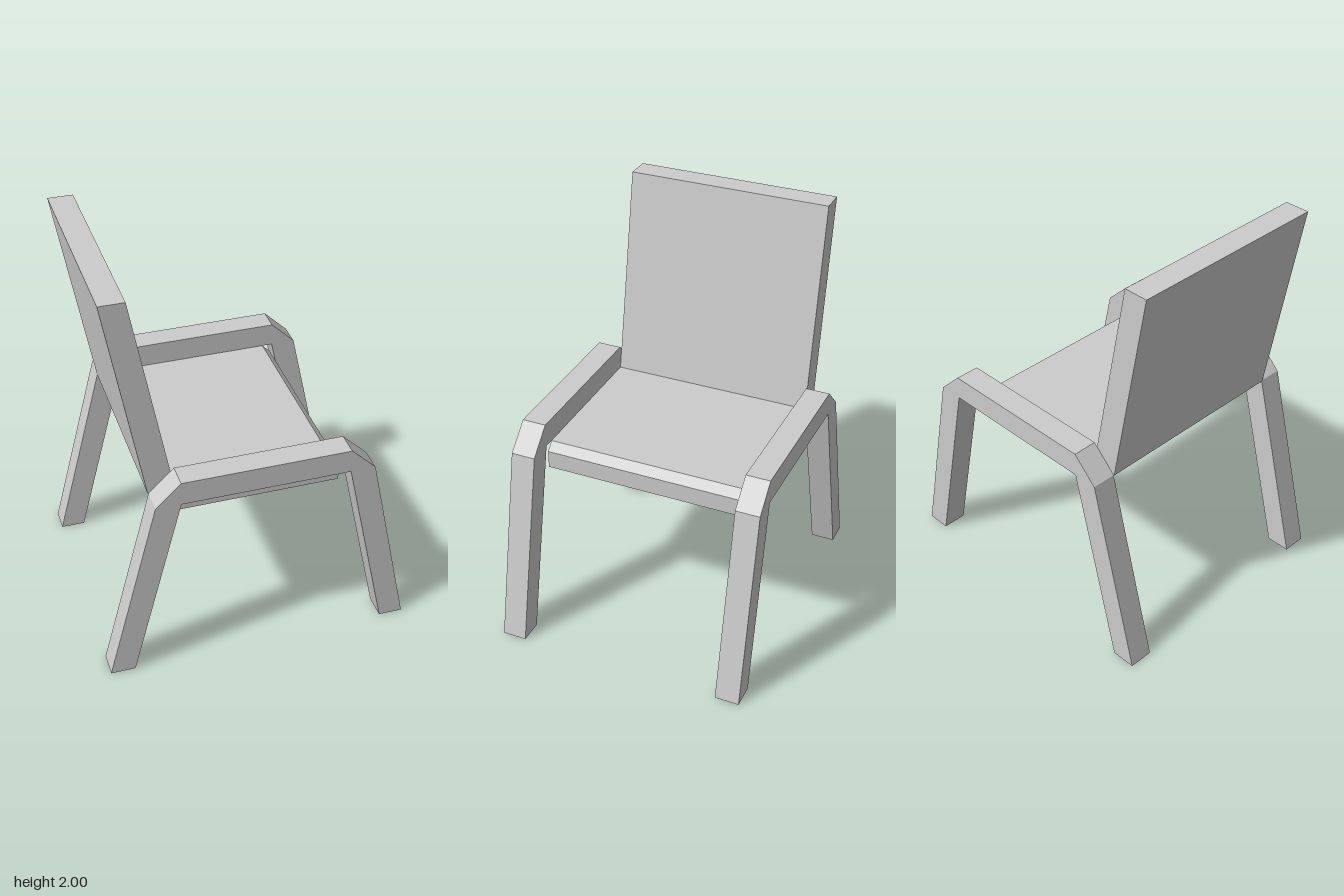
import * as THREE from 'three';

const HALF = 0.517; // half width of seat and back
const FRAME = 0.122; // frame thickness

const material = new THREE.MeshStandardMaterial({ color: 0xcccccc, flatShading: true });
const shellMaterial = new THREE.MeshStandardMaterial({ color: 0xcccccc, flatShading: true, side: THREE.DoubleSide });

const outline = (points) => new THREE.Shape(points.map(([x, y]) => new THREE.Vector2(x, y)));

// Prism of an x-y outline, from z0 over the given depth
function prism(name, points, z0, depth) {
  const geometry = new THREE.ExtrudeGeometry(outline(points), { depth, bevelEnabled: false });
  geometry.translate(0, 0, z0);
  const mesh = new THREE.Mesh(geometry, material);
  mesh.name = name;
  return mesh;
}

// Seat shell: top, front lip and sides, open underneath
function createSeat() {
  const seat = new THREE.Group();
  seat.name = 'seat';
  const profile = [[-0.39, 0.97], [0.38, 0.97], [0.42, 0.93], [0.42, 0.84]];

  const positions = [];
  for (let i = 0; i < profile.length - 1; i++) {
    const [ax, ay] = profile[i];
    const [bx, by] = profile[i + 1];
    positions.push(ax, ay, HALF, bx, by, HALF, bx, by, -HALF);
    positions.push(ax, ay, HALF, bx, by, -HALF, ax, ay, -HALF);
  }
  const geometry = new THREE.BufferGeometry();
  geometry.setAttribute('position', new THREE.Float32BufferAttribute(positions, 3));
  geometry.computeVertexNormals();
  const top = new THREE.Mesh(geometry, shellMaterial);
  top.name = 'seatTop';
  seat.add(top);

  for (const side of [1, -1]) {
    const panel = new THREE.Mesh(new THREE.ShapeGeometry(outline([...profile, [-0.39, 0.84]])), shellMaterial);
    panel.name = side > 0 ? 'seatSideNear' : 'seatSideFar';
    if (side < 0) panel.geometry.index.array.reverse();
    panel.geometry.computeVertexNormals();
    panel.position.z = side * HALF;
    seat.add(panel);
  }
  return seat;
}

export function createModel() {
  const chair = new THREE.Group();
  chair.name = 'chair';

  // Leaning back with its chamfered foot behind the seat
  chair.add(prism('backrest', [
    [-0.705, 2], [-0.52, 0.97], [-0.39, 0.84], [-0.39, 0.97], [-0.582, 2],
  ], -HALF, 2 * HALF));

  chair.add(createSeat());

  // Two side frames, each a pair of splayed legs joined by an armrest
  const frame = [
    [-0.765, 0], [-0.643, 0], [-0.393, 0.97], [0.432, 0.97], [0.64, 0],
    [0.76, 0], [0.555, 0.97], [0.432, 1.09], [-0.393, 1.09], [-0.516, 0.97],
  ];
  chair.add(prism('sideFrameNear', frame, HALF, FRAME));
  chair.add(prism('sideFrameFar', frame, -HALF - FRAME, FRAME));

  return chair;
}
